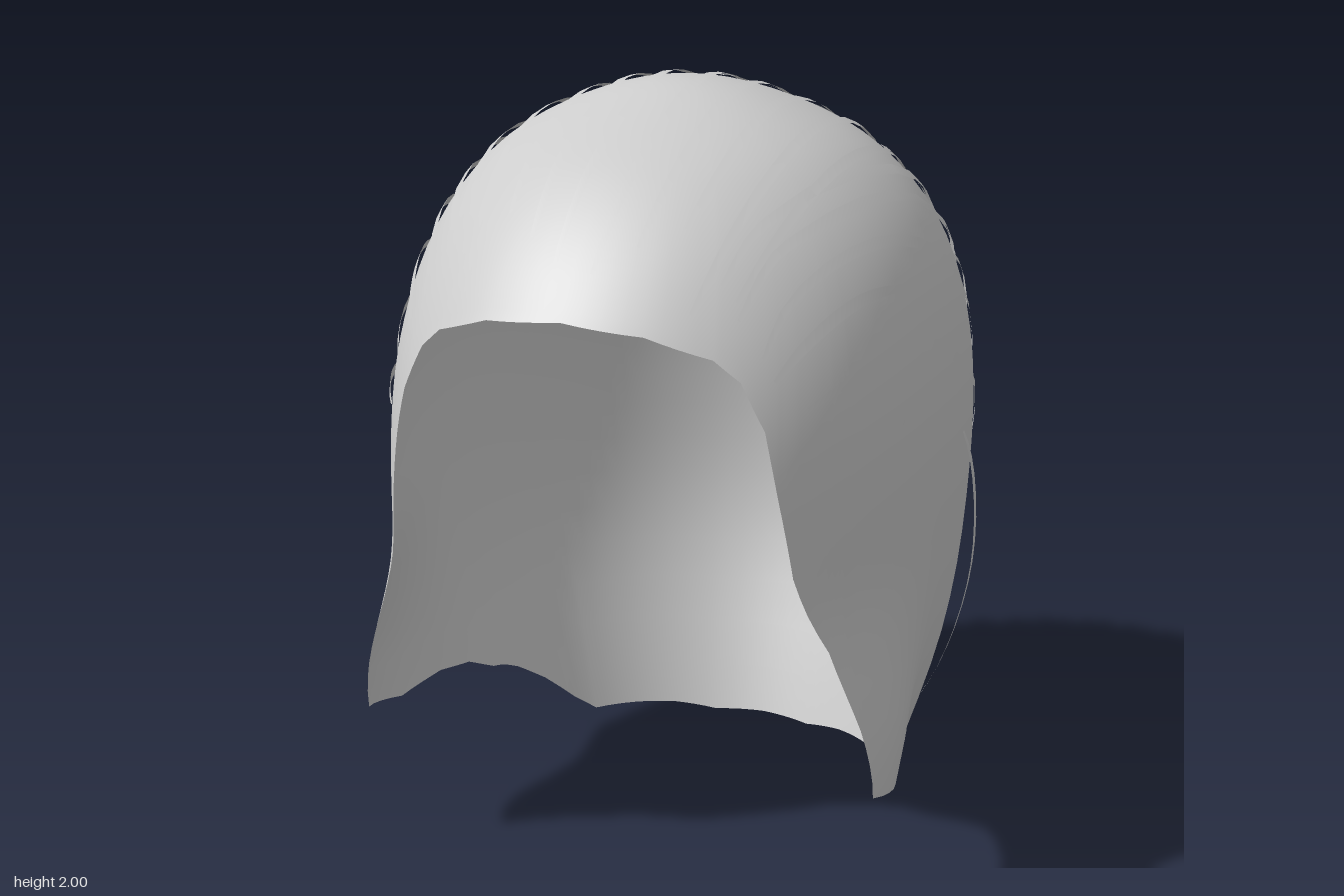
import * as THREE from 'three';
import { mergeVertices } from 'three/addons/utils/BufferGeometryUtils.js';

const hairGrey = new THREE.MeshStandardMaterial({ color: 0xcccccc, side: THREE.DoubleSide });
hairGrey.name = 'hairGrey';

// Profiles at s = 0, 0.2, 0.4 ... where height y = 2 - s * s
const HALF_WIDTH = [0, 0.22, 0.45, 0.61, 0.69, 0.70, 0.65, 0.50];
const FRONT = [0.08, 0.28, 0.555, 0.78, 0.95, 1.02, 1.06, 1.06];
const BACK = [0.08, -0.14, -0.385, -0.585, -0.72, -0.785, -0.76, -0.56];
const CENTRE = [0.08, 0.07, 0.05, 0.02, 0, 0, 0, 0];

// Smooth lookup in a profile table
function profile(table, s) {
  const n = table.length - 1;
  const i = Math.min(Math.floor(s / 0.2), n - 1), t = s / 0.2 - i;
  const p1 = table[i], p2 = table[i + 1];
  const p0 = i > 0 ? table[i - 1] : 2 * p1 - p2;
  const p3 = i + 2 <= n ? table[i + 2] : 2 * p2 - p1;
  return p1 + 0.5 * t * (p2 - p0 + t * (2 * p0 - 5 * p1 + 4 * p2 - p3 + t * (3 * (p1 - p2) + p3 - p0)));
}

// Point on the hair shell: angle 0 faces front, s grows from crown to hem
function surface(angle, s) {
  const y = 1.995 - s * s * 0.9975, c = profile(CENTRE, s), cos = Math.cos(angle), sin = Math.sin(angle);
  const z = c + (cos > 0 ? profile(FRONT, s) - c : c - profile(BACK, s)) * cos;
  // side locks flare gently outwards towards their lower front corners
  const flare = 0.165 * THREE.MathUtils.smoothstep(0.95 - y, 0, 0.6) * THREE.MathUtils.smoothstep(z, 0.05, 0.58);
  return new THREE.Vector3(profile(HALF_WIDTH, s) * sin + Math.sign(sin) * flare, y, z);
}

// Grid of points (rows of equal length) to a smooth geometry
function gridGeometry(rows) {
  const cols = rows[0].length, index = [];
  for (let i = 0; i < rows.length - 1; i++) {
    for (let j = 0; j < cols - 1; j++) {
      const a = i * cols + j, b = a + cols;
      index.push(a, b, a + 1, a + 1, b, b + 1);
    }
  }
  const geometry = new THREE.BufferGeometry().setFromPoints(rows.flat());
  geometry.setIndex(index);
  const merged = mergeVertices(geometry, 1e-5);
  merged.computeVertexNormals();
  return merged;
}

// Lower edge as [angle, height]: hairline, side lock, nape
const HEM = [
  [0, 1.58], [0.3, 1.56], [0.53, 1.51], [0.62, 1.46], [0.70, 1.35], [0.745, 1.2], [0.81, 1.0],
  [0.92, 0.8], [0.965, 0.6], [0.99, 0.42], [1.18, 0.37], [1.33, 0.385], [1.43, 0.37], [1.52, 0.32],
  [1.67, 0.27], [1.83, 0.2], [2.0, 0.11], [2.12, 0.06], [2.37, 0.045], [2.6, 0.03], [2.85, 0.005], [Math.PI, 0.01],
];

function shell() {
  const half = [];
  HEM.forEach(([angle, y], k) => {
    const [a0, y0] = HEM[Math.max(k - 1, 0)];
    for (let q = k ? 1 : 4; q <= 4; q++) {
      half.push([a0 + (angle - a0) * q / 4, y0 + (y - y0) * q / 4]);
    }
  });
  const hem = [...half.slice(1).reverse().map(([a, y]) => [-a, y]), ...half];
  const rows = [];
  for (let i = 0; i <= 32; i++) {
    rows.push(hem.map(([a, y]) => surface(a, Math.sqrt(2 - y) * i / 32)));
  }
  return gridGeometry(rows);
}

// Shell point and outward normal from flat (u, v) coordinates around the crown
function at(u, v) {
  return surface(Math.atan2(u, v), Math.hypot(u, v));
}
function normalAt(u, v) {
  const p = at(u, v), e = 0.01;
  return at(u, v + e).sub(p).cross(at(u + e, v).sub(p)).normalize();
}

// Flat coordinates of the shell point at a given depth and height
function flat(side, z, y) {
  const s = Math.sqrt(2 - y), c = profile(CENTRE, s);
  const cos = (z - c) / (z > c ? profile(FRONT, s) - c : c - profile(BACK, s));
  return [side * s * Math.sqrt(1 - cos * cos), s * cos];
}

// Thin ribbon of hair following a smooth (u, v) path just above the shell
function strand(points, width, lift = 0.007) {
  const path = new THREE.SplineCurve(points.map(([u, v]) => new THREE.Vector2(u, v)));
  const left = [], right = [], steps = 14;
  for (let i = 0; i <= steps; i++) {
    const t = i / steps, p = path.getPoint(t), d = path.getTangent(t);
    const n = normalAt(p.x, p.y);
    const along = at(p.x + d.x * 0.01, p.y + d.y * 0.01).sub(at(p.x, p.y)).normalize();
    const across = n.clone().cross(along).normalize();
    const taper = width * (0.35 + 0.65 * Math.sin(Math.PI * t)) / 2;
    const base = at(p.x, p.y).addScaledVector(n, 0.003 + lift * Math.sin(Math.PI * t));
    left.push(base.clone().addScaledVector(across, taper));
    right.push(base.clone().addScaledVector(across, -taper));
  }
  return gridGeometry([left, right]);
}

// Side strands as [depth, height] points, from the hairline back over the ear
const SIDE_STRANDS = [
  [[0.63, 1.27], [0.5, 1.29], [0.35, 1.28]],
  [[0.63, 1.38], [0.45, 1.43], [0.2, 1.43], [0, 1.33], [-0.28, 1.06]],
  [[0.68, 1.45], [0.58, 1.52], [0.4, 1.58], [0.2, 1.56]],
  [[0.68, 1.5], [0.58, 1.6], [0.4, 1.67], [0.2, 1.67], [0, 1.59], [-0.15, 1.45], [-0.32, 1.23]],
  [[0.68, 1.58], [0.55, 1.69], [0.4, 1.74], [0.05, 1.74], [-0.2, 1.6], [-0.4, 1.36]],
  [[0.66, 1.65], [0.54, 1.74], [0.4, 1.79], [0, 1.79], [-0.25, 1.68], [-0.45, 1.45], [-0.6, 1.1]],
];

export function createModel() {
  const model = new THREE.Group();
  const add = (geometry, name, parent = model) => {
    const mesh = new THREE.Mesh(geometry, hairGrey);
    mesh.name = name;
    parent.add(mesh);
  };
  const strands = new THREE.Group();
  strands.name = 'strands';
  model.add(strands);

  add(shell(), 'hairShell');

  for (const side of [-1, 1]) {
    // strands swept from the hairline over the crown
    for (let k = 0; k < 5; k++) {
      const u = side * (0.05 + 0.085 * k), v = 0.57 - 0.06 * (k % 3);
      add(strand([[u * 0.9, v], [u, 0.1], [u * 1.1, -0.3 - 0.08 * (k % 2)]], 0.028), 'crownStrand', strands);
    }
    // strands down the back, gathering at the nape
    for (let k = 0; k < 8; k++) {
      const u = 0.05 + 0.085 * k, tip = u * 0.95, reach = 1.37 - 0.03 * (k % 3);
      const end = -Math.sqrt(reach * reach - tip * tip);
      const path = [[side * u, -0.1 - 0.07 * (k % 3)], [side * u * 1.1, -0.7], [side * tip, end]];
      add(strand(path, 0.035, 0.016), 'backStrand', strands);
    }
    // strands combed back over the ears
    for (const points of SIDE_STRANDS) {
      add(strand(points.map(([z, y]) => flat(side, z, y)), 0.03), 'sideStrand', strands);
    }
    // loose strand hanging behind the ear
    add(strand([[side * 0.92, 0], [side * 1.1, -0.1], [side * 1.26, -0.06]], 0.03, 0.04), 'looseStrand', strands);
  }
  return model;
}
